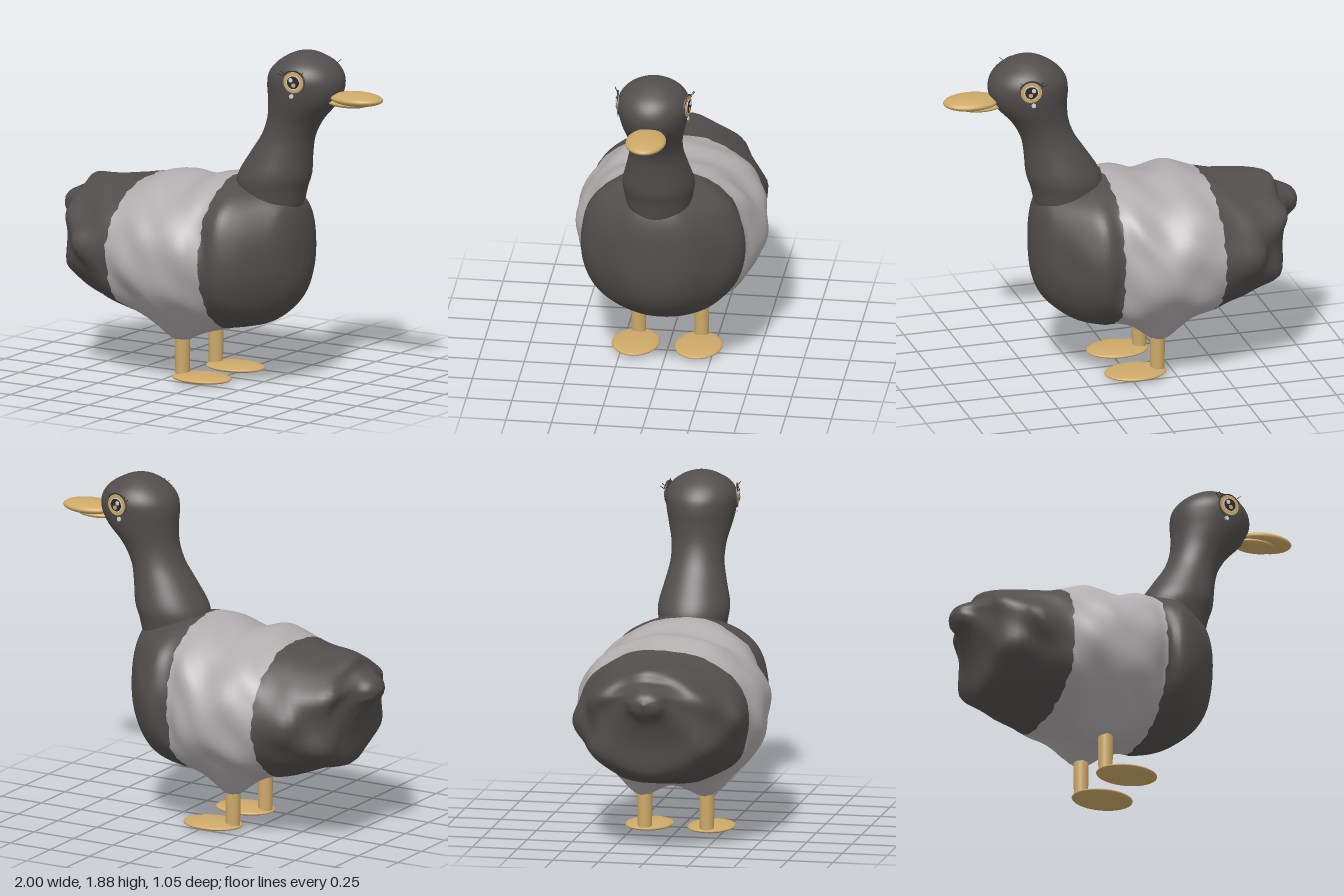
import * as THREE from 'three';

const mat = (name, color) => {
  const m = new THREE.MeshStandardMaterial({ color });
  m.name = name;
  return m;
};

// Interpolates rows of numbers smoothly, with `sub` steps per span
function smoothRows(rows, sub) {
  const out = [];
  const at = i => rows[Math.min(rows.length - 1, Math.max(0, i))];
  for (let i = 0; i < rows.length - 1; i++) {
    for (let k = 0; k < sub; k++) {
      const t = k / sub;
      out.push(rows[i].map((p1, c) => {
        const p0 = at(i - 1)[c], p2 = at(i + 1)[c], p3 = at(i + 2)[c];
        return p1 + 0.5 * t * (p2 - p0 + t * (2 * p0 - 5 * p1 + 4 * p2 - p3 + t * (3 * (p1 - p2) + p3 - p0)));
      }));
    }
  }
  out.push(rows[rows.length - 1]);
  return out;
}

// Skins closed rings; point(row, angle, ringIndex, j) returns [x, y, z]
function loft(rows, sides, point) {
  const pos = [], idx = [];
  rows.forEach((row, i) => {
    for (let j = 0; j < sides; j++) pos.push(...point(row, (j / sides) * Math.PI * 2, i, j));
  });
  for (let i = 0; i < rows.length - 1; i++) {
    for (let j = 0; j < sides; j++) {
      const a = i * sides + j, b = i * sides + (j + 1) % sides;
      idx.push(a, a + sides, b, b, a + sides, b + sides);
    }
  }
  const g = new THREE.BufferGeometry();
  g.setAttribute('position', new THREE.Float32BufferAttribute(pos, 3));
  g.setIndex(idx);
  g.computeVertexNormals();
  return g;
}

const bell = v => Math.exp(-v * v);
const soft = (v, e) => Math.sign(v) * Math.abs(v) ** e;

// Feather clumps: x, angle round the body, length, spread, swelling, backward pull
const clumps = [
  [-0.6, 0.1, 0.1, 0.3, 0.08, 0.07], [-0.63, 3.1, 0.07, 0.3, 0.07, 0.05],
  [-0.78, 0.45, 0.07, 0.3, 0.08, 0.03], [-0.8, 2.65, 0.07, 0.3, 0.1, 0.05],
  [-0.8, 1.7, 0.07, 0.4, 0.03, 0.03], [-0.79, 4.5, 0.06, 0.7, 0.02, 0.03],
  [-0.76, 5.8, 0.07, 0.3, 0.06, 0.04], [-0.76, 3.7, 0.07, 0.3, 0.06, 0.04],
  [0.2, 0.75, 0.09, 0.35, 0.06, 0], [0.2, 2.4, 0.09, 0.35, 0.06, 0],
];

export function createModel() {
  const model = new THREE.Group();
  model.name = 'bird';
  const dark = mat('charcoal feathers', 0x524e4d);
  const grey = mat('pale grey feathers', 0xb2adae);
  const gold = mat('tan beak and feet', 0xcda968);
  const black = mat('eye black', 0x2b2829);
  const white = mat('eye highlight', 0xd8d6d8);

  const add = (name, geo, material, x = 0, y = 0, z = 0, parent = model) => {
    const m = new THREE.Mesh(geo, material);
    m.name = name;
    m.position.set(x, y, z);
    parent.add(m);
    return m;
  };
  const ball = (name, material, p, r) => {
    add(name, new THREE.SphereGeometry(1, 32, 20), material, ...p).scale.set(...r);
  };

  // Body stations: x, bottom, top, half width
  const stations = [
    [-1.0, 0.88, 0.88, 0], [-0.975, 0.82, 0.93, 0.075], [-0.91, 0.76, 0.965, 0.13],
    [-0.85, 0.62, 0.985, 0.23], [-0.8, 0.46, 1.035, 0.31], [-0.64, 0.39, 1.055, 0.42],
    [-0.46, 0.335, 1.08, 0.48], [-0.3, 0.3, 1.125, 0.51], [-0.15, 0.285, 1.105, 0.515],
    [0.0, 0.285, 1.145, 0.49], [0.1, 0.295, 1.15, 0.44], [0.2, 0.315, 1.14, 0.45],
    [0.3, 0.345, 1.12, 0.395], [0.4, 0.415, 1.09, 0.285], [0.46, 0.49, 1.05, 0.2],
    [0.493, 0.58, 0.95, 0.11], [0.507, 0.7, 0.8, 0],
  ];
  const SUB = 5, SIDES = 80;
  const borders = [6 * SUB, 10 * SUB];
  const bodyGeo = loft(smoothRows(stations, SUB), SIDES, ([x, yb, yt, w], t, i, j) => {
    // Lumpy plumage, calmer over the breast
    let swell = (x > 0.15 ? 0.3 : 1) * (0.022 * Math.sin(17 * x + 1) * Math.cos(5 * t)
      + 0.016 * Math.sin(11 * x + 3 * t + 2) * Math.sin(7 * t) + 0.008 * Math.sin(29 * x + 8 * t));
    let pull = 0;
    for (const [cx, ct, len, spread, size, back] of clumps) {
      const turn = Math.atan2(Math.sin(t - ct), Math.cos(t - ct));
      const f = bell((x - cx) / len) * bell(turn / spread);
      swell += f * size;
      pull += f * back;
    }
    // Ragged colour borders
    const rag = borders.includes(i) ? 0.005 * Math.sin(j * 2.3) + 0.004 * Math.sin(j * 5.1) : 0;
    const c = Math.cos(t), s = Math.sin(t), e = s > 0 ? 0.98 : 0.92;
    const z = soft(c, e) * w * (1 + swell);
    let y = (yb + yt) / 2 + soft(s, e) * (yt - yb) / 2 * (1 + swell * 0.6);
    // Thighs swell down towards the legs
    if (s < 0) y -= 0.1 * bell((x + 0.17) / 0.12) * bell((Math.abs(z) - 0.19) / 0.11) * Math.min(1, -s * 1.5);
    return [x + rag - pull, y, z];
  });
  const perRing = SIDES * 6;
  const ends = [0, ...borders, (stations.length - 1) * SUB];
  for (let k = 0; k < 3; k++) bodyGeo.addGroup(ends[k] * perRing, (ends[k + 1] - ends[k]) * perRing, k);
  add('body', bodyGeo, [dark, grey, dark]);

  // Neck and head levels: y, back x, front x, half depth
  const neck = [
    [0.88, 0.2, 0.43, 0.1], [1.0, 0.14, 0.478, 0.165], [1.1, 0.11, 0.503, 0.188],
    [1.18, 0.125, 0.528, 0.195], [1.3, 0.2, 0.54, 0.167], [1.4, 0.265, 0.56, 0.147],
    [1.5, 0.3, 0.615, 0.15], [1.6, 0.307, 0.705, 0.174], [1.68, 0.303, 0.742, 0.19],
    [1.75, 0.315, 0.737, 0.194], [1.81, 0.362, 0.695, 0.163], [1.855, 0.43, 0.62, 0.1],
    [1.875, 0.485, 0.565, 0.042], [1.879, 0.525, 0.525, 0],
  ];
  add('neckAndHead', loft(smoothRows(neck, 4), 48, ([y, xb, xf, rz], t) =>
    [(xb + xf) / 2 - Math.sin(t) * (xf - xb) / 2, y, 0.004 + Math.cos(t) * rz]), dark);

  // Beak
  ball('upperBeak', gold, [0.845, 1.646, 0.004], [0.155, 0.036, 0.11]);
  ball('lowerBeak', gold, [0.79, 1.617, 0.004], [0.125, 0.023, 0.08]);

  for (const s of [1, -1]) {
    const side = s > 0 ? 'left' : 'right';

    // Leg and webbed foot
    const legZ = 0.005 + s * 0.172;
    add(side + 'Leg', new THREE.CylinderGeometry(0.043, 0.039, 0.28, 24), gold, -0.16, 0.17, legZ);
    ball(side + 'Foot', gold, [-0.035, 0.026, legZ], [0.172, 0.023, 0.13]);

    // Eye built of stacked thin discs, turned slightly forward
    const eye = new THREE.Group();
    eye.name = side + 'Eye';
    eye.position.set(0.56, 1.74, 0.004 + s * 0.189);
    eye.rotation.y = s * 0.15;
    model.add(eye);
    const disc = (name, r, material, x, y, layer) => {
      add(name, new THREE.CylinderGeometry(r, r, 0.008, 28), material, x, y, s * layer * 0.003, eye)
        .rotation.x = Math.PI / 2;
    };
    disc('eyeRim', 0.066, dark, 0, 0, 0);
    disc('iris', 0.058, gold, 0, 0, 1);
    disc('irisRing', 0.04, white, 0, 0, 2);
    disc('pupil', 0.035, black, 0, 0, 3);
    disc('innerIris', 0.012, gold, 0.004, -0.014, 4);
    disc('highlight', 0.012, white, -0.013, 0.013, 4);
    disc('tear', 0.012, white, -0.014, -0.079, 0.5);

    // Upper lid and lashes
    const tube = (name, pts, r) => add(name, new THREE.TubeGeometry(
      new THREE.CatmullRomCurve3(pts.map(p => new THREE.Vector3(p[0], p[1], s * p[2]))), 12, r, 6), black, 0, 0, 0, eye);
    tube('upperLid', [[-0.065, 0.03, 0.004], [-0.03, 0.058, 0.004], [0.02, 0.06, 0.004], [0.062, 0.03, 0.004]], 0.0025);
    for (const [x, y] of [[-0.05, 0.042], [-0.065, 0.03], [0.045, 0.045]]) {
      tube('lash', [[x, y, 0.004], [x * 1.2, y + 0.01, 0.011], [x * 1.4, y + 0.018, 0.016]], 0.0018);
    }
  }
  return model;
}
